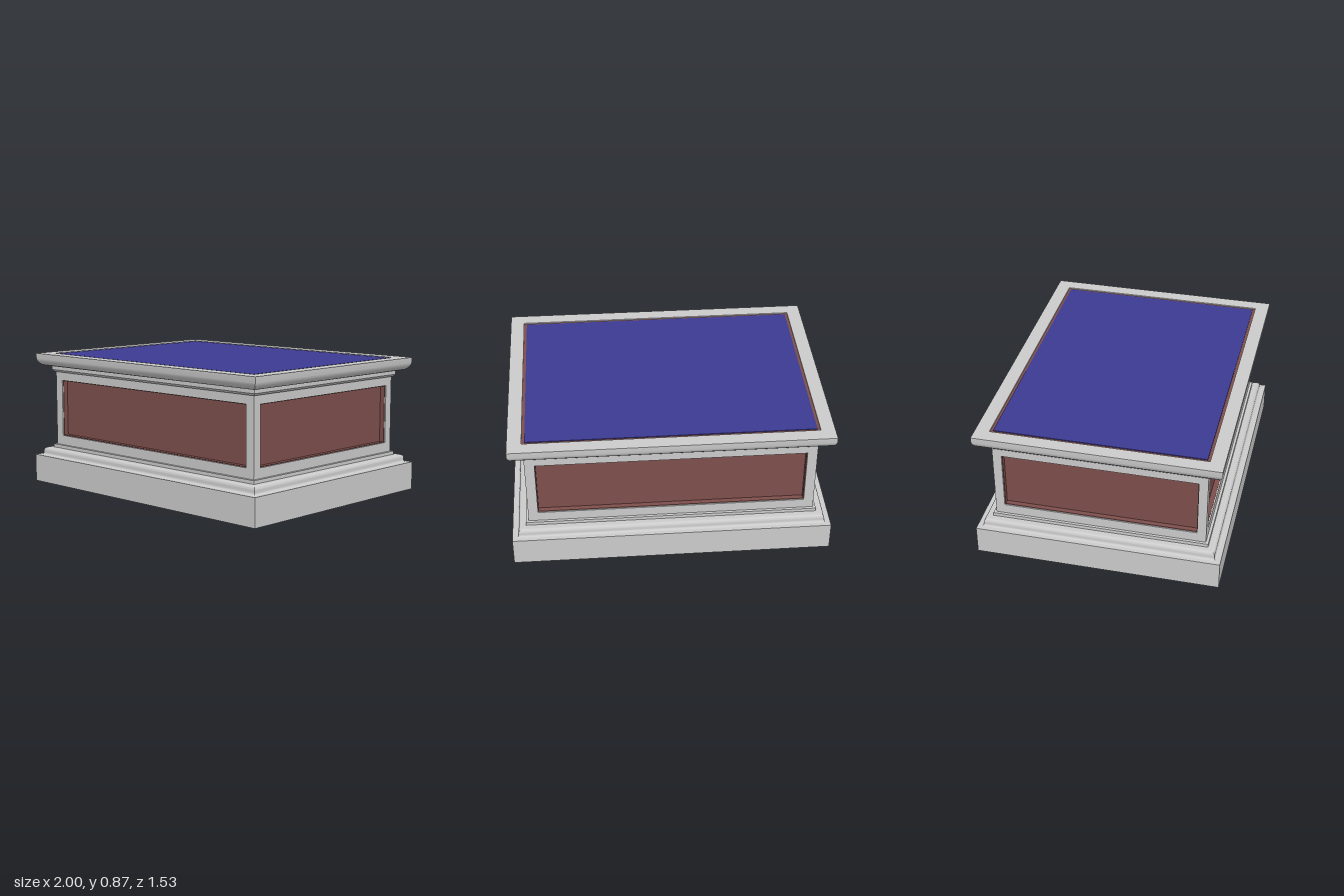
import * as THREE from 'three';
import { toCreasedNormals } from 'three/addons/utils/BufferGeometryUtils.js';

const HX = 1, HZ = 0.765;            // half size of the plinth
const grey = new THREE.MeshStandardMaterial({ color: 0xcccccc });
const brown = new THREE.MeshStandardMaterial({ color: 0x7d4f4c });
const blue = new THREE.MeshStandardMaterial({ color: 0x3c3a92 });

function add(parent, name, geometry, material) {
  const mesh = new THREE.Mesh(geometry, material);
  mesh.name = name;
  parent.add(mesh);
  return mesh;
}

function block(parent, name, hx, hz, y0, y1, material) {
  const mesh = add(parent, name, new THREE.BoxGeometry(2 * hx, y1 - y0, 2 * hz), material);
  mesh.position.y = (y0 + y1) / 2;
  return mesh;
}

// Mitred moulding: a profile of [inset, y] points, bottom to top, run around the rectangle
function moulding(profile) {
  const signs = [[-1, 1], [1, 1], [1, -1], [-1, -1]];
  const corner = ([inset, y], k) => {
    const [sx, sz] = signs[k % 4];
    return [sx * (HX - inset), y, sz * (HZ - inset)];
  };
  const pos = [];
  for (let k = 0; k < 4; k++) {
    for (let i = 0; i < profile.length - 1; i++) {
      const a = corner(profile[i], k), b = corner(profile[i], k + 1);
      const c = corner(profile[i + 1], k + 1), d = corner(profile[i + 1], k);
      pos.push(...a, ...b, ...c, ...a, ...c, ...d);
    }
  }
  const g = new THREE.BufferGeometry();
  g.setAttribute('position', new THREE.Float32BufferAttribute(pos, 3));
  return toCreasedNormals(g, 0.6);
}

// Elliptical arc of profile points
function arc(cx, cy, rx, ry, from, to, n = 8) {
  return Array.from({ length: n + 1 }, (_, i) => {
    const t = from + (to - from) * i / n;
    return [cx + rx * Math.cos(t), cy + ry * Math.sin(t)];
  });
}

function rect(path, hw, y0, y1) {
  path.moveTo(-hw, y0).lineTo(hw, y0).lineTo(hw, y1).lineTo(-hw, y1).closePath();
  return path;
}

// Extruded rectangular frame with a rectangular opening
function frame(outer, inner, depth) {
  const shape = rect(new THREE.Shape(), ...outer);
  shape.holes.push(rect(new THREE.Path(), ...inner));
  return new THREE.ExtrudeGeometry(shape, { depth, bevelEnabled: false });
}

export function createModel() {
  const model = new THREE.Group();
  model.name = 'pedestal';
  const PI = Math.PI;

  // Plinth and the stepped moulding above it
  block(model, 'plinth', HX, HZ, 0, 0.18, grey);
  add(model, 'baseMoulding', moulding([
    [0.026, 0.18],
    ...arc(0.026, 0.195, 0.014, 0.015, -PI / 2, 0, 5),
    ...arc(0.062, 0.208, 0.022, 0.022, PI, PI / 2, 6),
    [0.088, 0.23], [0.088, 0.252], [0.105, 0.252]
  ]), grey);

  // Panelled body: brown core seen through four frames with brown linings
  const bx = 0.895, bz = 0.66, depth = 0.04, y0 = 0.315, y1 = 0.687;
  block(model, 'panels', bx - depth, bz - depth, 0.24, 0.75, brown);
  const sides = [
    ['front', 0, bx, 0.833, bz], ['left', PI / 2, bz - depth, 0.604, bx],
    ['back', PI, bx, 0.833, bz], ['right', -PI / 2, bz - depth, 0.604, bx]
  ];
  for (const [name, angle, half, open, dist] of sides) {
    const side = new THREE.Group();
    side.name = name + 'Side';
    side.rotation.y = angle;
    add(side, name + 'Frame', frame([half, 0.24, 0.76], [open, y0, y1], depth), grey)
      .position.z = dist - depth;
    add(side, name + 'Lining', frame([open, y0, y1], [open - 0.004, y0 + 0.004, y1 - 0.004], depth - 0.008), brown)
      .position.z = dist - depth;
    model.add(side);
  }

  // Neck moulding and rounded cornice
  add(model, 'neckMoulding', moulding([
    [0.105, 0.742], [0.098, 0.742], [0.086, 0.756], [0.086, 0.782]
  ]), grey);
  add(model, 'cornice', moulding([
    [0.11, 0.782],
    ...arc(0.068, 0.84, 0.056, 0.058, -PI / 2, -PI, 10),
    [0.012, 0.865], [0.1, 0.865], [0.1, 0.84]
  ]), grey);

  // Top inlay with a narrow brown border
  block(model, 'topBorder', 0.9, 0.665, 0.8, 0.858, brown);
  block(model, 'topPanel', 0.882, 0.648, 0.82, 0.863, blue);
  return model;
}
